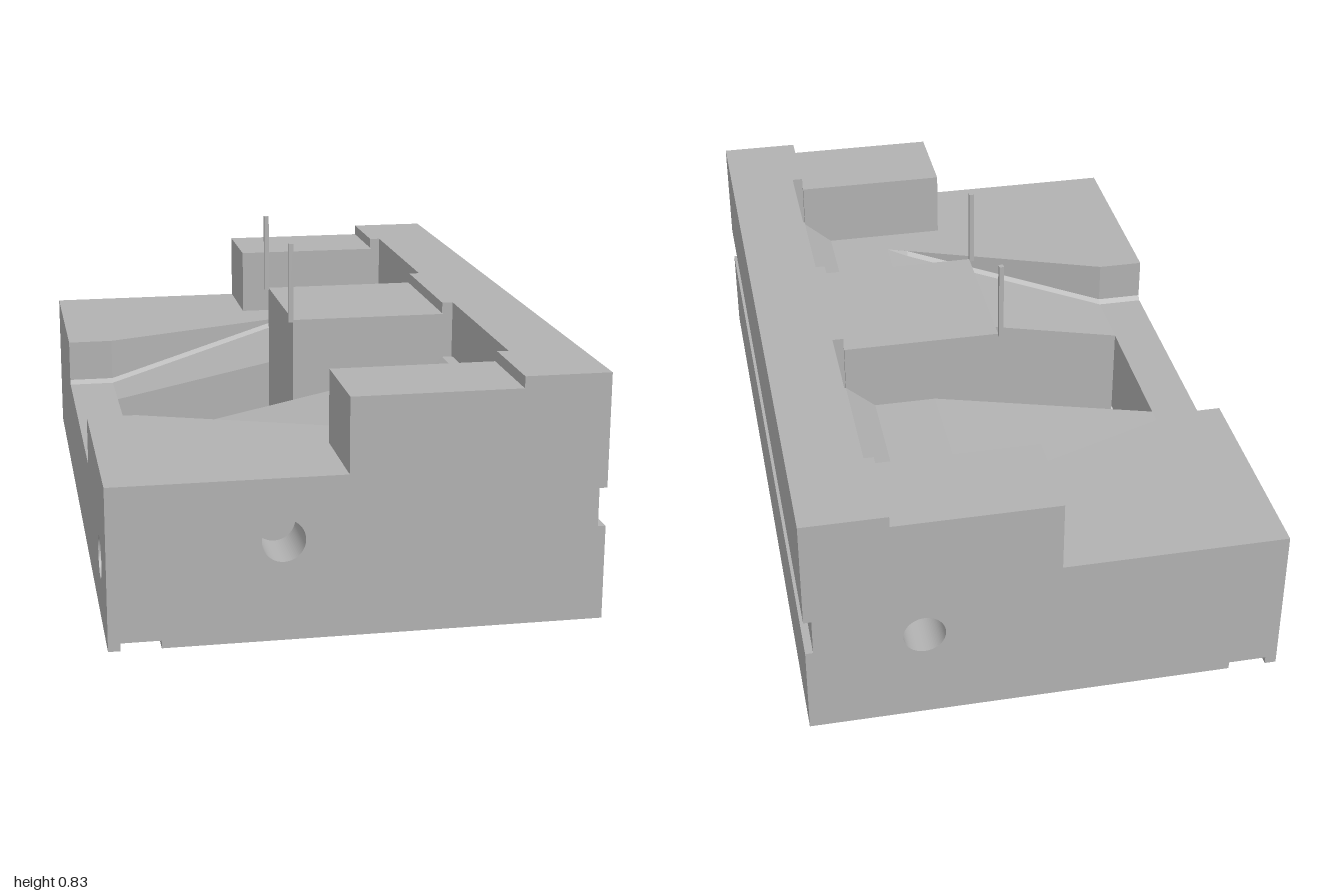
import * as THREE from 'three';

const TOP = 0.416, FLOOR = 0.285, MID = 0.61, HIGH = 0.64;
const HOLE_R = 0.054;

const polygon = (points) => new THREE.Shape(points.map(([x, y]) => new THREE.Vector2(x, y)));

function drill(shape, x, y) {
  shape.holes.push(new THREE.Path().absarc(x, y, HOLE_R, 0, Math.PI * 2, true));
  return shape;
}

const extrude = (shape, depth) =>
  new THREE.ExtrudeGeometry(shape, { depth, bevelEnabled: false, curveSegments: 40 });

// Profile in (x, y), running from z0 to z1
const alongZ = (shape, z0, z1) => extrude(shape, z1 - z0).translate(0, 0, z0);

// Plan in (x, z), rising from y0 to y1
const alongY = (points, y0, y1) =>
  extrude(polygon(points.map(([x, z]) => [x, -z])), y1 - y0).rotateX(-Math.PI / 2).translate(0, y0, 0);

// Section in (-z, y), running from x0 to x1
const alongX = (shape, x0, x1) => extrude(shape, x1 - x0).rotateY(Math.PI / 2).translate(x0, 0, 0);

const box = (x0, x1, y0, y1, z0, z1) =>
  new THREE.BoxGeometry(x1 - x0, y1 - y0, z1 - z0)
    .translate((x0 + x1) / 2, (y0 + y1) / 2, (z0 + z1) / 2);

// Triangular strip between two points [x, y, z, size] along the foot of a wall
function footStrip(a, b, side) {
  const geo = new THREE.BoxGeometry(1, 1, 1);
  const p = geo.attributes.position;
  for (let i = 0; i < p.count; i++) {
    const end = p.getX(i) > 0 ? b : a;
    const up = p.getY(i) > 0;
    const inner = p.getZ(i) < 0 && !up;
    p.setXYZ(i, end[0], end[1] + (up ? end[3] : 0), side * (end[2] - (inner ? end[3] : 0)));
  }
  if (side < 0) {
    const index = geo.index.array;
    for (let i = 0; i < index.length; i += 3) [index[i], index[i + 1]] = [index[i + 1], index[i]];
  }
  geo.computeVertexNormals();
  return geo;
}

export function createModel() {
  const model = new THREE.Group();
  model.name = 'fixtureBlock';
  const grey = new THREE.MeshStandardMaterial({ color: 0xb2b2b2 });
  grey.name = 'grey';
  const add = (name, geometry) => {
    const mesh = new THREE.Mesh(geometry, grey);
    mesh.name = name;
    model.add(mesh);
  };

  // Low side wall with the channel mouth and a blind hole
  const mouth = polygon([[-1, 0.02], [1, 0.02], [1, TOP], [0.41, TOP], [0.41, FLOOR],
    [-0.41, FLOOR], [-0.41, TOP], [-1, TOP]]);
  add('channelMouth', alongX(drill(mouth, -0.79, 0.165), -0.62, -0.49));
  add('footLip', box(-0.62, -0.59, 0, 0.02, -1, 1));

  // Stepped end walls, each with a blind hole
  const endProfile = () => polygon([[-0.49, 0], [0.6, 0], [0.6, HIGH], [0.4, HIGH],
    [0.4, MID], [-0.03, MID], [-0.03, TOP], [-0.49, TOP]]);
  add('frontWall', alongZ(drill(endProfile(), -0.19, 0.257), 0.85, 1));
  add('backWall', alongZ(drill(endProfile(), 0.32, 0.257), -1, -0.85));

  // Base plate around the square opening
  add('base', alongY([[-0.49, -0.85], [0.6, -0.85], [0.6, 0.85], [-0.49, 0.85],
    [-0.49, 0.21], [-0.03, 0.21], [-0.03, -0.21], [-0.49, -0.21]], 0, FLOOR));

  // Tall side: two rails with a groove between them, and the ridge
  add('lowerRail', box(0.6, 0.62, 0, 0.245, -1, 1));
  add('upperRail', box(0.6, 0.62, 0.345, HIGH, -1, 1));
  add('ridge', box(0.43, 0.6, FLOOR, HIGH, -0.85, 0.85));
  add('ridgeCentre', box(0.4, 0.43, FLOOR, HIGH, -0.2, 0.2));
  add('centreBlock', box(-0.03, 0.4, FLOOR, MID, -0.21, 0.21));

  // Mirrored ramps, shoulders, corner blocks and pins
  const ramp = polygon([[-0.49, FLOOR], [0.43, FLOOR], [0.43, 0.485], [0.4, 0.485],
    [0.32, TOP], [0.15, TOP]]);
  const foot = [[-0.62, FLOOR, 0.41, 0.012], [-0.49, FLOOR, 0.41, 0.012],
    [0.09, 0.4037, 0.6275, 0.012], [0.15, TOP, 0.65, 0]];
  for (const s of [1, -1]) {
    const span = (a, b) => (s > 0 ? [a, b] : [-b, -a]);
    add('ramp', alongZ(ramp, ...span(0.21, 0.85)));
    add('shoulder', alongY([[-0.49, s * 0.41], [0.15, s * 0.65], [0.15, s * 0.85], [-0.49, s * 0.85]],
      FLOOR, TOP));
    add('cornerBlock', box(-0.03, 0.4, FLOOR, MID, ...span(0.74, 0.85)));
    add('ridgeEnd', box(0.4, 0.43, FLOOR, HIGH, ...span(0.755, 0.85)));
    add('pin', box(-0.043, -0.03, 0.605, 0.827, ...span(0.204, 0.218)));
    for (let i = 0; i < 3; i++) add('wallFoot', footStrip(foot[i], foot[i + 1], s));
  }
  return model;
}
